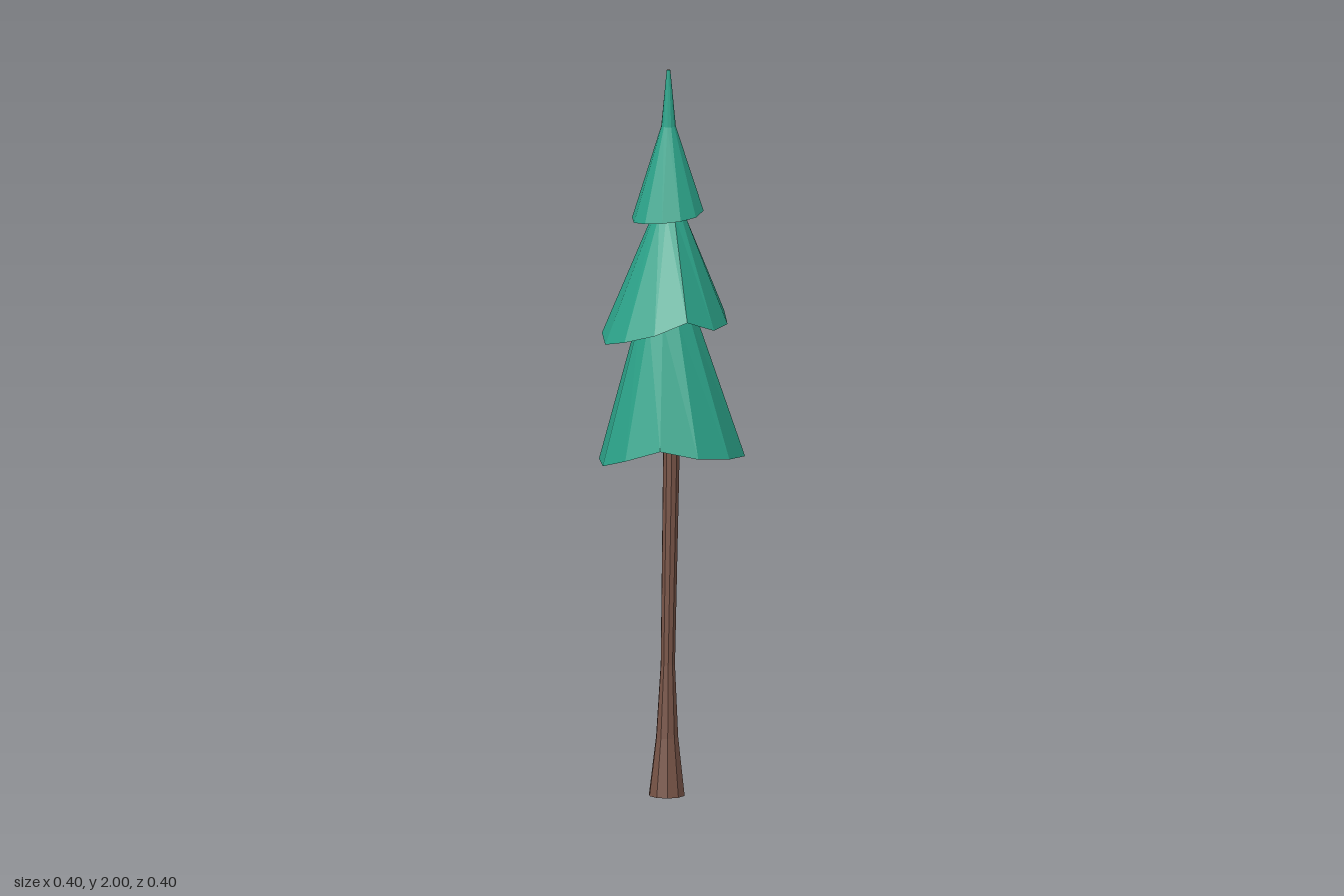
import * as THREE from 'three';

// Joins rings of points, listed from the bottom upward, into one faceted skin.
// Ring: { x, z: centre, r: radius, y: one height or a list of heights round the ring }
function loft(rings, sides, capBottom, capTop) {
  const point = (ring, k) => {
    const i = k % sides;
    const a = (i / sides) * Math.PI * 2;
    const y = Array.isArray(ring.y) ? ring.y[i] : ring.y;
    return [ring.x + ring.r * Math.cos(a), y, (ring.z || 0) + ring.r * Math.sin(a)];
  };
  const centre = (ring) => [ring.x, ring.y, ring.z || 0];
  const pos = [];
  for (let k = 0; k < sides; k++) {
    for (let j = 0; j < rings.length - 1; j++) {
      const a0 = point(rings[j], k), a1 = point(rings[j], k + 1);
      const b0 = point(rings[j + 1], k), b1 = point(rings[j + 1], k + 1);
      pos.push(...a0, ...b0, ...b1, ...a0, ...b1, ...a1);
    }
    const first = rings[0], last = rings[rings.length - 1];
    if (capBottom) pos.push(...centre(first), ...point(first, k), ...point(first, k + 1));
    if (capTop) pos.push(...centre(last), ...point(last, k + 1), ...point(last, k));
  }
  const geometry = new THREE.BufferGeometry();
  geometry.setAttribute('position', new THREE.Float32BufferAttribute(pos, 3));
  geometry.computeVertexNormals();
  return geometry;
}

export function createModel() {
  const needles = new THREE.MeshStandardMaterial({ name: 'needle green', color: 0x2da58b, flatShading: true });
  const bark = new THREE.MeshStandardMaterial({ name: 'bark brown', color: 0x795548, flatShading: true });

  const tree = new THREE.Group();
  tree.name = 'pineTree';
  const add = (name, geometry, material) => {
    const mesh = new THREE.Mesh(geometry, material);
    mesh.name = name;
    tree.add(mesh);
  };

  // Trunk: flared foot, slight bend, running up to the tip
  add('trunk', loft([
    { x: -0.015, r: 0.05, y: 0 },
    { x: -0.014, r: 0.031, y: 0.16 },
    { x: -0.012, r: 0.02, y: 0.36 },
    { x: -0.002, r: 0.023, y: 0.93 },
    { x: -0.008, r: 0.018, y: 1.45 },
    { x: -0.01, r: 0.004, y: 2 },
  ], 10, true, true), bark);

  // Foliage tiers: hollow underside, ragged rim (heights start at +x, turning to +z), sloping skirt
  const tiers = [
    {
      name: 'lowerFoliage', x: 0, r: 0.2, under: 0.975,
      rim: [0.94, 0.94, 0.95, 0.962, 0.985, 0.95, 0.92, 0.92, 0.925, 0.975, 0.945, 0.94],
      upper: [{ x: -0.013, r: 0.08, y: 1.32 }, { x: -0.01, r: 0.022, y: 1.48 }],
    },
    {
      name: 'middleFoliage', x: -0.021, r: 0.172, under: 1.335,
      rim: [1.325, 1.305, 1.303, 1.335, 1.3, 1.275, 1.255, 1.27, 1.28, 1.285, 1.295, 1.31],
      upper: [{ x: -0.009, r: 0.04, y: 1.61 }, { x: -0.01, r: 0.015, y: 1.7 }],
    },
    {
      name: 'topFoliage', x: -0.012, r: 0.098, under: 1.63,
      rim: [1.62, 1.615, 1.605, 1.6, 1.595, 1.59, 1.585, 1.59, 1.6, 1.625, 1.625, 1.62],
      upper: [{ x: -0.01, r: 0.02, y: 1.845 }, { x: -0.01, r: 0.005, y: 2 }],
    },
  ];
  for (const t of tiers) {
    const inner = { x: -0.006, r: 0.02, y: t.under };
    const rim = { x: t.x, r: t.r, y: t.rim };
    add(t.name, loft([inner, rim, ...t.upper], 12, false, false), needles);
  }
  return tree;
}
